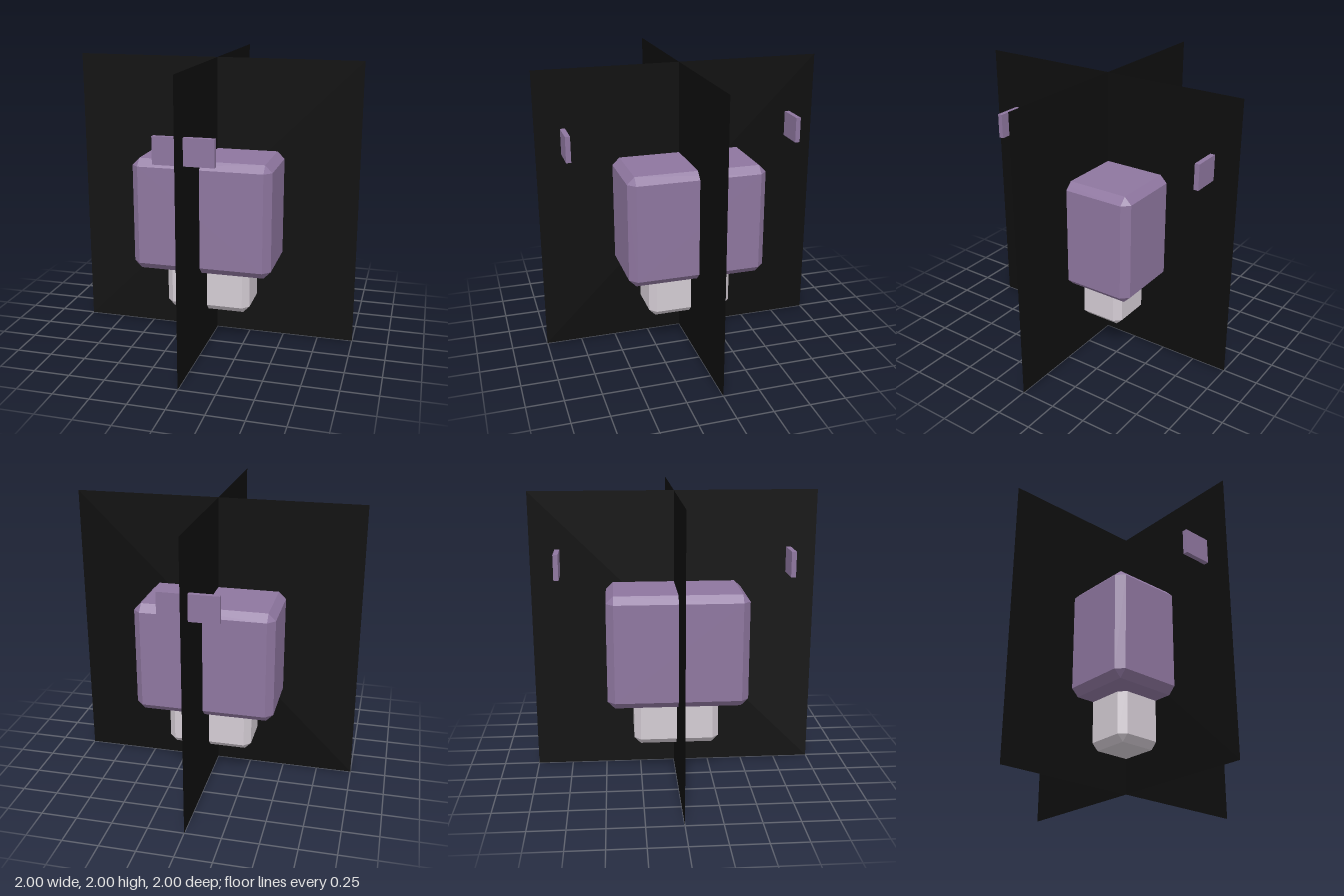
import * as THREE from 'three';
import { ConvexGeometry } from 'three/addons/geometries/ConvexGeometry.js';

// Box with every edge bevelled and each corner cut to a triangle
function chamferedBox(w, h, d, c) {
  const half = [w / 2, h / 2, d / 2];
  const points = [];
  for (const sx of [-1, 1]) for (const sy of [-1, 1]) for (const sz of [-1, 1]) {
    for (let axis = 0; axis < 3; axis++) {
      const p = [sx, sy, sz].map((s, i) => s * (half[i] - (i === axis ? 0 : c)));
      points.push(new THREE.Vector3(...p));
    }
  }
  return new ConvexGeometry(points);
}

export function createModel() {
  const purple = new THREE.MeshStandardMaterial({ color: 0x8e769f });
  purple.name = 'purple';
  const paleGrey = new THREE.MeshStandardMaterial({ color: 0xd4ccd4 });
  paleGrey.name = 'paleGrey';
  const black = new THREE.MeshStandardMaterial({ color: 0x0e0e0e, side: THREE.DoubleSide });
  black.name = 'black';

  const model = new THREE.Group();
  const add = (name, geometry, material, x, y, z) => {
    const mesh = new THREE.Mesh(geometry, material);
    mesh.name = name;
    mesh.position.set(x, y, z);
    model.add(mesh);
    return mesh;
  };

  // Large block resting on a smaller one
  add('upperBlock', chamferedBox(0.958, 0.78, 0.958, 0.05), purple, 0, 0.973, 0);
  add('lowerBlock', chamferedBox(0.594, 0.44, 0.594, 0.045), paleGrey, 0, 0.467, 0);

  // Floating plates in front and behind
  for (const [name, side] of [['frontPlate', 1], ['backPlate', -1]]) {
    add(name, new THREE.BoxGeometry(0.4, 0.178, 0.034), purple, 0, 1.51, side * 0.81);
  }

  // Two thin square sheets crossing on the vertical axis
  add('crossSheet', new THREE.PlaneGeometry(2, 2), black, 0, 1, 0);
  add('lengthSheet', new THREE.PlaneGeometry(2, 2), black, 0, 1, 0).rotation.y = Math.PI / 2;

  return model;
}
